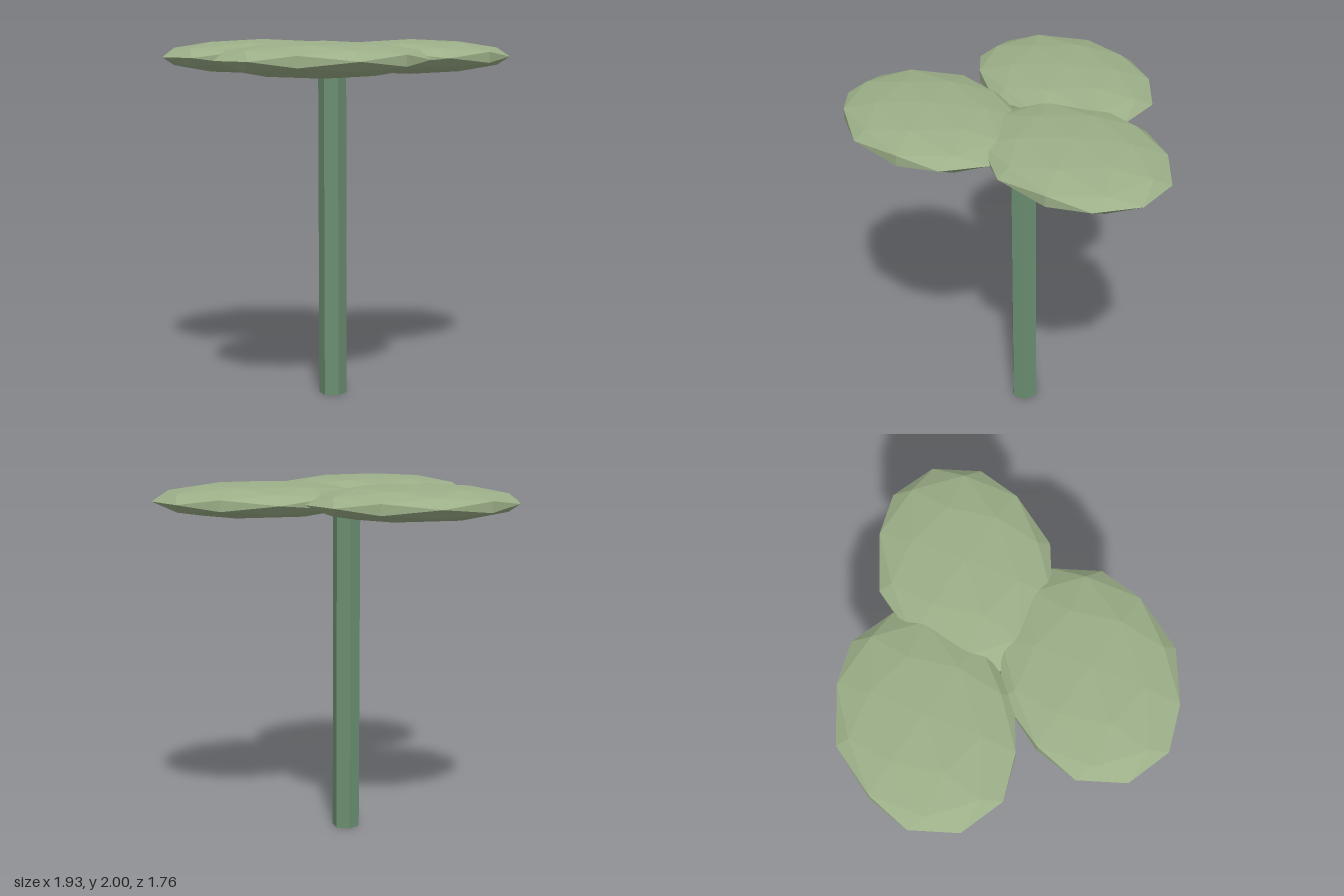
import * as THREE from 'three';

export function createModel() {
  const model = new THREE.Group();
  model.name = 'clover';

  const leafGreen = new THREE.MeshStandardMaterial({ color: 0x9caf88, flatShading: true });
  leafGreen.name = 'sage green';
  const stemGreen = new THREE.MeshStandardMaterial({ color: 0x6b8f71, flatShading: true });
  stemGreen.name = 'stem green';

  const stemX = -0.122;
  const leafY = 1.902;
  const spread = 0.489;

  // Hexagonal stem
  const stem = new THREE.Mesh(new THREE.CylinderGeometry(0.078, 0.078, leafY, 6), stemGreen);
  stem.name = 'stem';
  stem.position.set(stemX, leafY / 2, 0);
  model.add(stem);

  // Three flattened leaflets spaced evenly around the stem, all lying along x
  const leafGeometry = new THREE.IcosahedronGeometry(1, 1).scale(0.598, 0.098, 0.457);
  for (let i = 0; i < 3; i++) {
    const angle = (i * Math.PI * 2) / 3;
    const leaf = new THREE.Mesh(leafGeometry, leafGreen);
    leaf.name = `leaf${i + 1}`;
    leaf.position.set(stemX + Math.cos(angle) * spread, leafY, Math.sin(angle) * spread);
    model.add(leaf);
  }

  return model;
}
